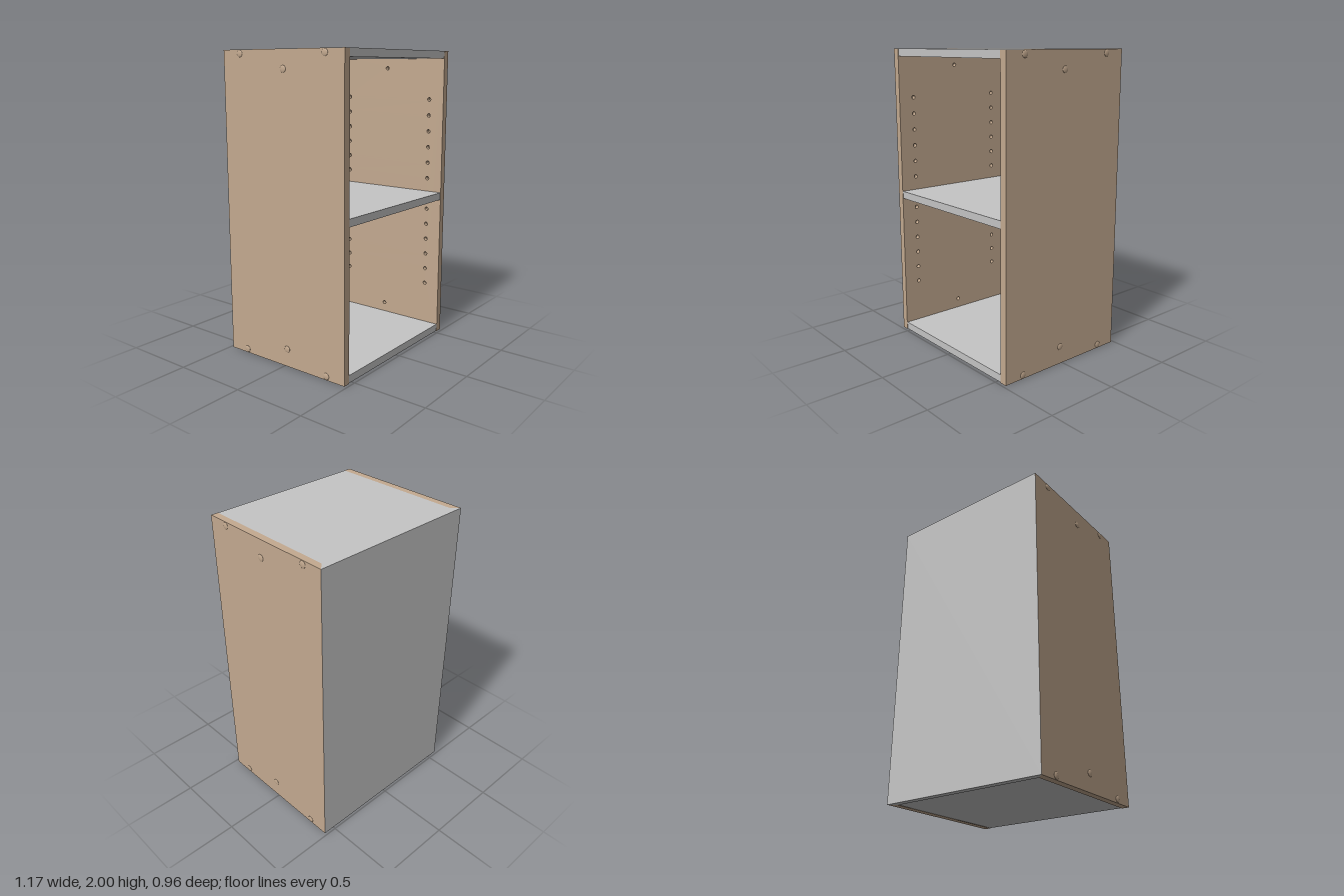
import * as THREE from 'three';

const W = 0.578, IN = 0.53, MID = 0.56;      // outer face, inner face, pin hole depth
const FRONT = 0.481, BACK = -0.483, BACK_IN = -0.437, H = 2;

export function createModel() {
  const wood = new THREE.MeshStandardMaterial({ color: 0xc4aa90 });
  wood.name = 'tan side panel';
  const grey = new THREE.MeshStandardMaterial({ color: 0xc5c5c5 });
  grey.name = 'light grey board';
  const model = new THREE.Group();
  model.name = 'shelfCabinet';

  const add = (parent, name, geometry, material) => {
    const mesh = new THREE.Mesh(geometry, material);
    mesh.name = name;
    parent.add(mesh);
    return mesh;
  };

  // Shelf pin holes in two columns, plus the two centre fixing holes
  const pins = [];
  for (const z of [0.37, -0.315])
    for (let k = -6; k <= 6; k++) pins.push([z, 1.01 + k * 0.1105]);
  pins.push([0.02, 0.12], [0.02, 1.885]);

  // One layer of a side panel, with its back edge mitred
  const layer = (s, x0, x1, holes) => {
    const shape = new THREE.Shape([
      new THREE.Vector2(BACK, 0), new THREE.Vector2(FRONT, 0),
      new THREE.Vector2(FRONT, H), new THREE.Vector2(BACK, H)]);
    for (const [z, y] of holes)
      shape.holes.push(new THREE.Path().absarc(z, y, 0.013, 0, Math.PI * 2, true));
    const g = new THREE.ExtrudeGeometry(shape, { depth: x1 - x0, bevelEnabled: false, curveSegments: 8 });
    g.rotateY(-Math.PI / 2).translate(s > 0 ? x1 : -x0, 0, 0);
    const p = g.attributes.position;
    for (let i = 0; i < p.count; i++)
      if (p.getZ(i) < BACK + 0.001)
        p.setZ(i, BACK + (W - Math.abs(p.getX(i))) * (BACK_IN - BACK) / (W - IN));
    g.computeVertexNormals();
    return g;
  };

  // Side panels with shallow domed screw caps outside
  for (const s of [1, -1]) {
    const side = new THREE.Group();
    side.name = s > 0 ? 'leftSide' : 'rightSide';
    add(side, 'innerPanel', layer(s, IN, MID, pins), wood);
    add(side, 'outerPanel', layer(s, MID, W, []), wood);
    for (const [z, lift] of [[0.34, 0.025], [0.02, 0.117], [-0.34, 0.025]])
      for (const y of [lift, H - lift]) {
        const cap = add(side, 'screwCap', new THREE.SphereGeometry(0.022, 20, 6, 0, Math.PI * 2, 0, Math.PI / 2), wood);
        cap.scale.y = 0.25;
        cap.rotation.z = -s * Math.PI / 2;
        cap.position.set(s * W, y, z);
      }
    model.add(side);
  }

  // Mitred back panel
  const outline = new THREE.Shape([
    new THREE.Vector2(-IN, -BACK_IN), new THREE.Vector2(IN, -BACK_IN),
    new THREE.Vector2(W, -BACK), new THREE.Vector2(-W, -BACK)]);
  const back = new THREE.ExtrudeGeometry(outline, { depth: H, bevelEnabled: false });
  add(model, 'backPanel', back.rotateX(-Math.PI / 2), grey);

  // Top, shelf and bottom boards between the sides
  const depth = 0.478 - BACK_IN;
  for (const [name, y] of [['bottomBoard', 0.002], ['middleShelf', 0.978], ['topBoard', 1.95]]) {
    const board = add(model, name, new THREE.BoxGeometry(IN * 2, 0.05, depth), grey);
    board.position.set(0, y + 0.025, BACK_IN + depth / 2);
  }
  return model;
}
